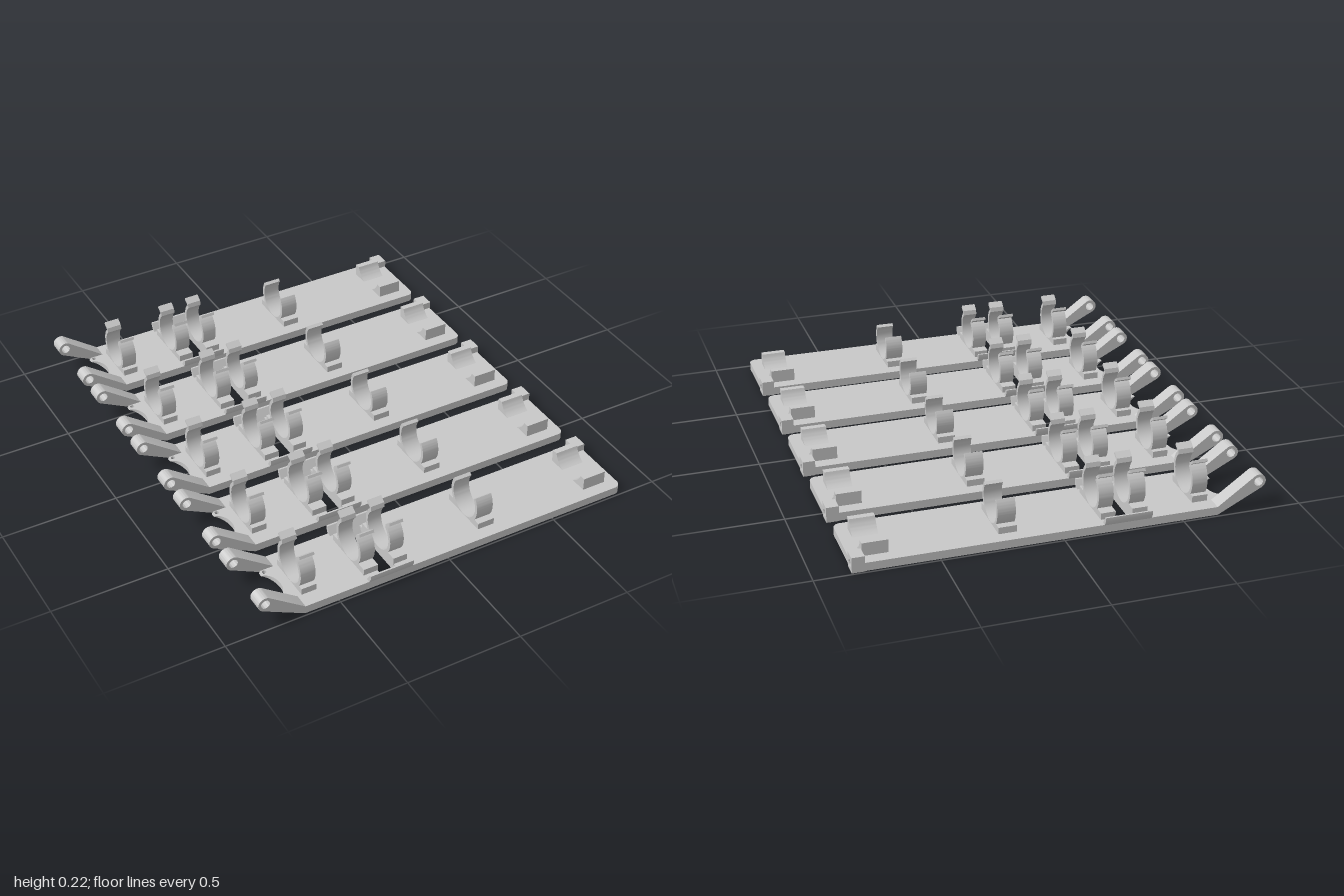
import * as THREE from 'three';
import { toCreasedNormals } from 'three/addons/utils/BufferGeometryUtils.js';

const grey = new THREE.MeshStandardMaterial({ color: 0xc8c8c8 });
grey.name = 'light grey';

const T = 0.035; // plate thickness
const HALF = 0.165; // plate half width

const toShape = (pts) => new THREE.Shape(pts.map((p) => new THREE.Vector2(p[0], p[1])));
const circleHole = (x, y, r) => new THREE.Path().absarc(x, y, r, 0, Math.PI * 2, true);
const extrude = (shape, depth) =>
  new THREE.ExtrudeGeometry(shape, { depth, bevelEnabled: false, curveSegments: 20 });

function part(name, geometry) {
  const mesh = new THREE.Mesh(toCreasedNormals(geometry, 0.5), grey);
  mesh.name = name;
  return mesh;
}

// Profile in (-z, y), swept along x from x0 to x1
function alongX(shape, x0, x1) {
  return extrude(shape, x1 - x0).rotateY(Math.PI / 2).translate(x0, 0, 0);
}

// Arc points around the clip centre, angles in degrees
const CY = 0.117;
function arc(r, a0, a1, n = 20) {
  return Array.from({ length: n + 1 }, (_, i) => {
    const a = THREE.MathUtils.degToRad(a0 + ((a1 - a0) * i) / n);
    return [r * Math.cos(a), CY + r * Math.sin(a)];
  });
}

// Open ring clip on a foot, with or without flared lips
function clipShape(base, lips) {
  const end = lips ? 48 : 35;
  const half = [
    [base, 0.03], [base, 0.063],
    ...arc(0.095, -34, end),
    ...(lips ? [[0.088, 0.204], [0.083, 0.215], [0.058, 0.196]] : []),
    ...arc(0.08, end, -90),
  ];
  const mirrored = half.slice(0, -1).reverse().map(([z, y]) => [-z, y]);
  return toShape([...half, ...mirrored]);
}

// Flat base plate with slot, corner notch and one rounded corner
function plateGeometry() {
  const s = new THREE.Shape();
  s.moveTo(-0.65, -HALF);
  s.lineTo(0.815, -HALF);
  s.absarc(0.815, -HALF + 0.03, 0.03, -Math.PI / 2, 0, false);
  s.lineTo(0.845, 0.105);
  s.lineTo(0.797, 0.105);
  s.lineTo(0.797, HALF);
  s.lineTo(-0.65, HALF);
  s.closePath();
  s.holes.push(toShape([[-0.302, -0.147], [-0.302, 0.147], [-0.228, 0.147], [-0.228, -0.147]]));
  return extrude(s, T).rotateX(-Math.PI / 2);
}

// Scalloped tongue between the hinge arms, undercut to a thin edge
function tongueGeometry() {
  const pts = [[-0.65, -0.1], [-0.65, 0.1], [-0.705, 0.1], [-0.717, 0.09]];
  for (let i = 0; i <= 20; i++) {
    const a = Math.PI / 2 - (Math.PI * i) / 20;
    pts.push([-0.717 + 0.047 * Math.cos(a), 0.07 * Math.sin(a)]);
  }
  pts.push([-0.717, -0.09], [-0.705, -0.1]);
  const s = toShape(pts);
  for (const k of [-1, 1]) s.holes.push(circleHole(-0.695, 0.087 * k, 0.009));
  const g = extrude(s, T).rotateX(-Math.PI / 2);
  const p = g.attributes.position;
  for (let i = 0; i < p.count; i++) {
    if (p.getY(i) < T / 2) p.setY(i, Math.min(0.0345, Math.max(0, (-0.65 - p.getX(i)) * 0.515)));
  }
  return g;
}

// Sloping arm ending in an eyelet
function armGeometry() {
  const s = new THREE.Shape();
  s.moveTo(-0.65, 0);
  s.lineTo(-0.648, T);
  s.absarc(-0.82, 0.122, 0.031, 1.06, 1.06 + Math.PI, false);
  s.closePath();
  s.holes.push(circleHole(-0.82, 0.122, 0.019));
  return extrude(s, 0.065);
}

function buildUnit() {
  const unit = new THREE.Group();
  unit.name = 'clipPlate';
  const add = (name, g) => unit.add(part(name, g));

  add('basePlate', plateGeometry());
  add('tongue', tongueGeometry());
  add('hingeArmBack', armGeometry().translate(0, 0, -HALF));
  add('hingeArmFront', armGeometry().translate(0, 0, 0.1));

  // Ring clips
  for (const [x0, x1, base, lips] of [
    [-0.63, -0.565, 0.1, true],
    [-0.365, -0.3, 0.122, true],
    [-0.23, -0.168, 0.122, true],
    [0.175, 0.25, 0.109, false],
  ]) add('ringClip', alongX(clipShape(base, lips), x0, x1));

  for (const k of [-1, 1]) {
    const side = (pts) => toShape(pts.map(([z, y]) => [z * k, y]));
    // Flared side rails and sloping slot ends
    add('sideRail', alongX(side([[0.145, 0.033], [0.165, 0.033], [0.176, 0.055], [0.176, 0.07], [0.168, 0.07]]), -0.365, -0.168));
    add('slotRamp', alongX(side([[0.125, 0], [0.148, 0], [0.148, T]]), -0.302, -0.228));
    // Low cradle feet with a curved inner face
    add('cradleFoot', alongX(side([[0.112, 0.03], [0.112, 0.09], ...arc(0.09, -17.5, -66, 10)]), 0.69, 0.795));
  }

  // Corner block with a round socket
  const block = toShape([[0.105, 0], [0.168, 0], [0.168, 0.066], [0.105, 0.066]]);
  block.holes.push(circleHole(0.138, 0.03, 0.015));
  add('cornerBlock', alongX(block, 0.797, 0.849));
  return unit;
}

export function createModel() {
  const model = new THREE.Group();
  model.name = 'clipPlateSet';
  const unit = buildUnit();
  for (let i = 0; i < 5; i++) {
    const copy = unit.clone();
    copy.position.z = (i - 2) * 0.412;
    model.add(copy);
  }
  return model;
}
